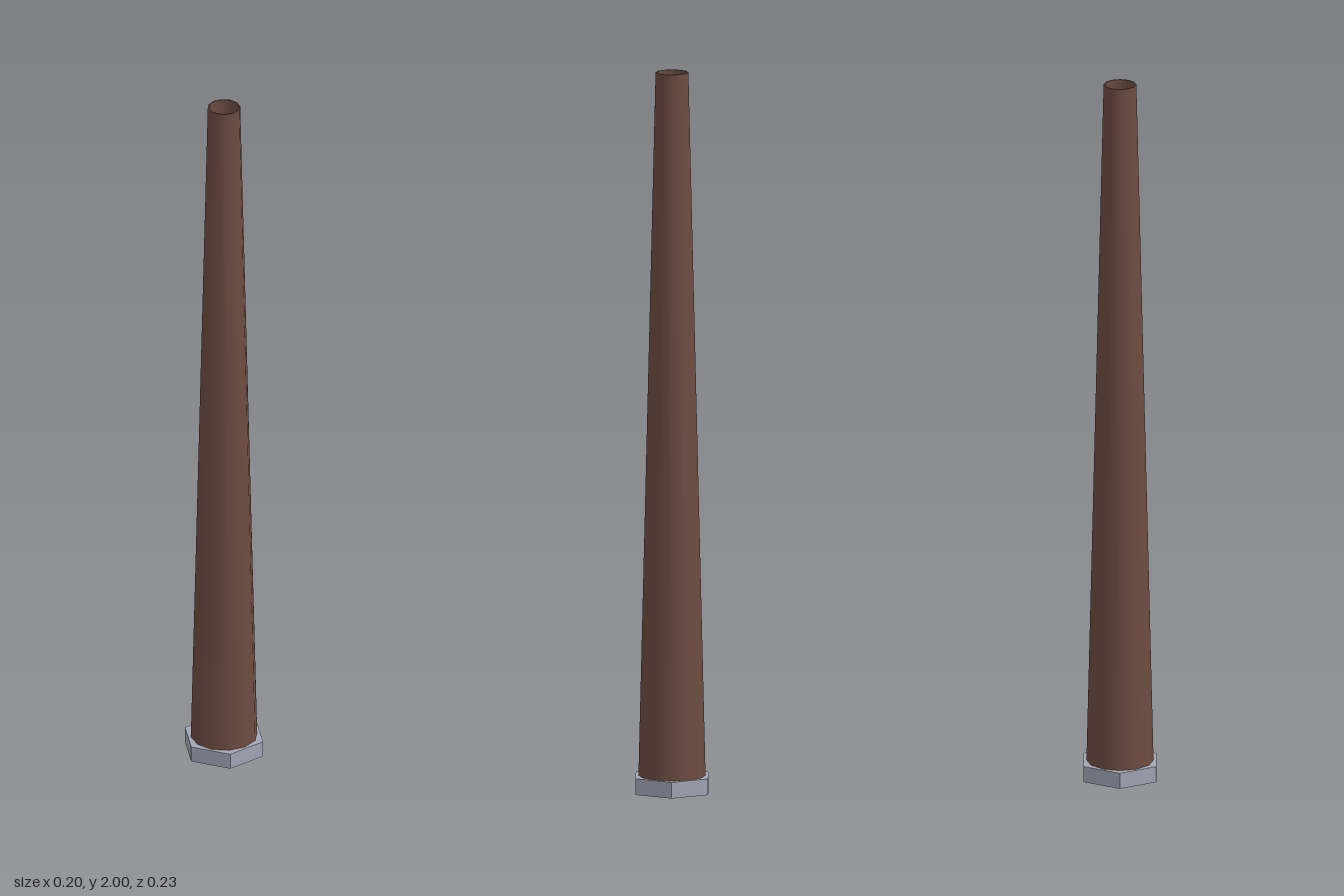
import * as THREE from 'three';

export function createModel() {
  const model = new THREE.Group();
  model.name = 'taperedLeg';

  const brown = new THREE.MeshStandardMaterial({ color: 0x6d4c41, side: THREE.DoubleSide });
  brown.name = 'brown';
  const grey = new THREE.MeshStandardMaterial({ color: 0xa2a5b6, side: THREE.DoubleSide, flatShading: true });
  grey.name = 'paleGrey';

  const add = (name, geometry, material, y = 0) => {
    const mesh = new THREE.Mesh(geometry, material);
    mesh.name = name;
    mesh.position.y = y;
    model.add(mesh);
  };

  // Hollow twelve-sided shaft: each wall is its own band so the rims stay sharp
  const profile = [[0.093, 0], [0.045, 2], [0.041, 2], [0.087, 0], [0.093, 0]];
  ['shaftOuterWall', 'shaftTopRim', 'shaftInnerWall', 'shaftBottomRim'].forEach((name, i) => {
    const points = [profile[i], profile[i + 1]].map(([r, y]) => new THREE.Vector2(r, y));
    add(name, new THREE.LatheGeometry(points, 12), brown);
  });

  // Hexagonal foot, open underneath, with a plate closing the shaft
  const height = 0.045, radius = 0.115;
  add('footSides', new THREE.CylinderGeometry(radius, radius, height, 6, 1, true), grey, height / 2);
  const plate = new THREE.CircleGeometry(radius, 6, Math.PI / 2).rotateX(-Math.PI / 2);
  add('footPlate', plate, grey, height);

  return model;
}
